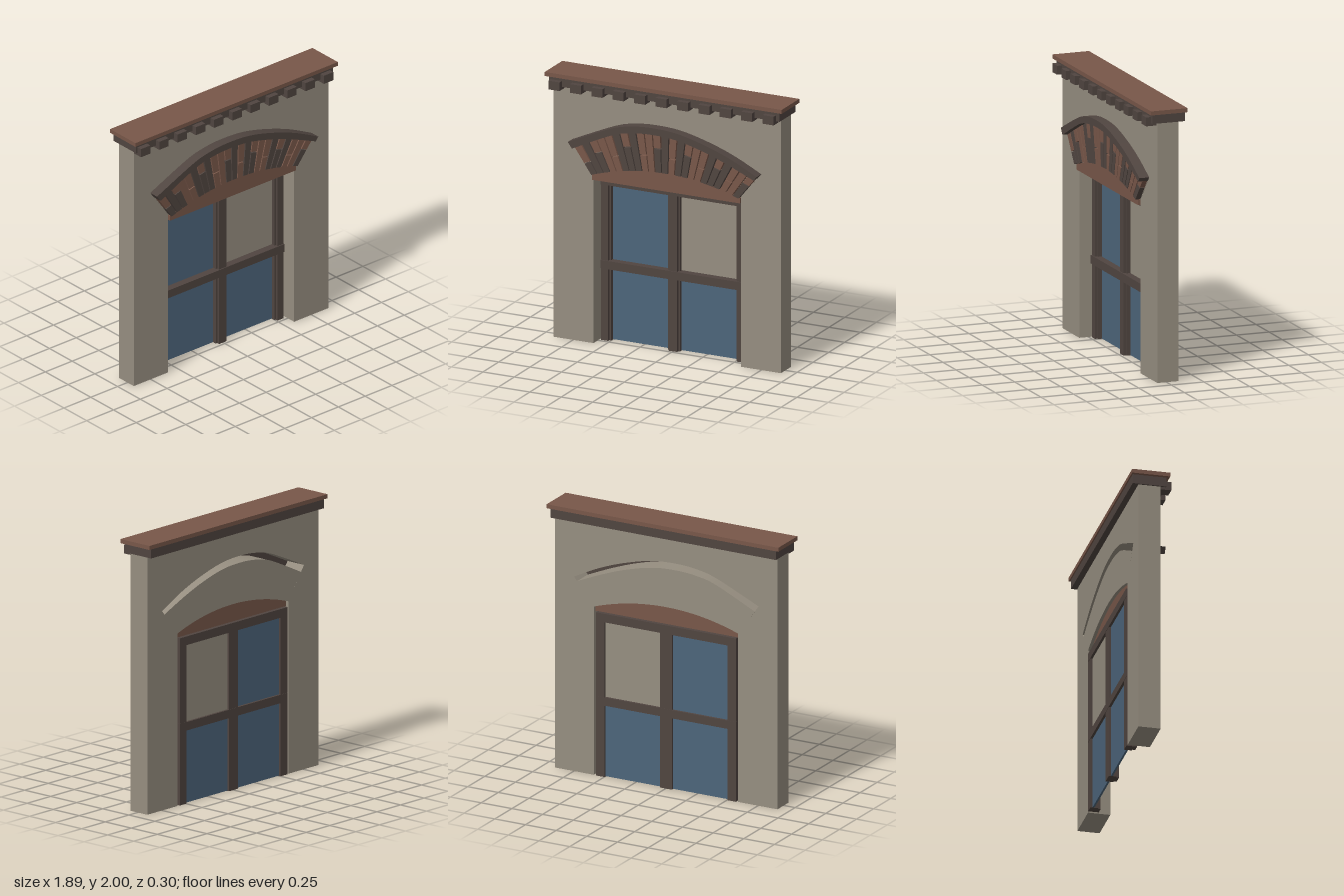
import * as THREE from 'three';

const mat = (name, color) => {
  const m = new THREE.MeshStandardMaterial({ color });
  m.name = name;
  return m;
};

export function createModel() {
  const model = new THREE.Group();
  model.name = 'archedWindowWall';
  const stone = mat('stone', 0x968e80);
  const brown = mat('redBrown', 0x785749);
  const dark = mat('darkBrown', 0x504540);
  const glass = mat('blueGlass', 0x4d657b);

  const add = (name, geo, material, parent = model) => {
    const mesh = new THREE.Mesh(geo, material);
    mesh.name = name;
    parent.add(mesh);
    return mesh;
  };
  const group = (name) => {
    const g = new THREE.Group();
    g.name = name;
    model.add(g);
    return g;
  };
  // box given by its limits on each axis
  const box = (name, x0, x1, y0, y1, z0, z1, material, parent) => {
    const mesh = add(name, new THREE.BoxGeometry(x1 - x0, y1 - y0, z1 - z0), material, parent);
    mesh.position.set((x0 + x1) / 2, (y0 + y1) / 2, (z0 + z1) / 2);
    return mesh;
  };
  // outline in the xy plane, extruded from z0 to z1
  const slab = (name, pts, z0, z1, material, parent) => {
    const geo = new THREE.ExtrudeGeometry(new THREE.Shape(pts), { depth: z1 - z0, bevelEnabled: false });
    geo.translate(0, 0, z0);
    return add(name, geo, material, parent);
  };
  const v = (x, y) => new THREE.Vector2(x, y);
  const spline = (pairs) => new THREE.SplineCurve(pairs.map(([x, y]) => v(x, y)));

  // arch curves: moulding top, moulding underside, brick foot
  const outer = spline([[-0.755, 1.507], [-0.42, 1.655], [-0.257, 1.698], [-0.09, 1.712],
    [0.11, 1.7], [0.33, 1.647], [0.54, 1.572], [0.75, 1.47]]);
  const under = spline([[-0.722, 1.462], [-0.41, 1.607], [-0.25, 1.648], [-0.09, 1.661],
    [0.1, 1.65], [0.315, 1.599], [0.52, 1.527], [0.725, 1.44]]);
  const half = 0.588, radius = 1.81;
  const foot = (t) => {
    const x = (t * 2 - 1) * half;
    return v(x, Math.sqrt(radius * radius - x * x) - radius + 1.37);
  };
  const outerPts = outer.getPoints(42);
  const underPts = under.getPoints(42);
  const footPts = Array.from({ length: 33 }, (_, i) => foot(i / 32));

  // wall with the doorway and arch cut out
  slab('wall', [v(-0.908, 0), v(-half, 0), v(-half, 1.273), ...outerPts, v(half, 1.273),
    v(half, 0), v(0.906, 0), v(0.906, 1.9), v(-0.908, 1.9)], -0.093, 0.07, stone);
  // infill behind the bricks, leaving a groove under the arch at the back
  slab('archInfill', [...footPts, ...underPts.slice().reverse()], -0.093, 0.072, stone);
  slab('archMoulding', [...underPts, ...outerPts.slice().reverse()], 0.065, 0.145, dark);
  slab('tympanum', [v(-half, 1.232), v(half, 1.232), ...footPts.slice().reverse()], -0.07, 0.09, brown);

  // fan of bricks, every second column split in two
  const bricks = group('archBricks');
  const columns = 23;
  const at = (t, h) => foot(t).lerp(under.getPointAt(t), h);
  const brick = (i, h0, h1, material) => {
    const t0 = (i + 0.07) / columns, t1 = (i + 0.93) / columns;
    slab('brick', [at(t0, h0), at(t1, h0), at(t1, h1), at(t0, h1)], 0.065, 0.11, material, bricks);
  };
  for (let i = 0; i < columns; i++) {
    if (i % 2) {
      brick(i, 0.01, 0.99, i % 6 === 3 ? brown : dark);
    } else {
      const split = i % 4 ? 0.62 : 0.42;
      brick(i, 0.01, split - 0.015, i % 4 || i === 0 ? dark : brown);
      brick(i, split + 0.015, 0.99, brown);
    }
  }

  // cornice
  box('corniceCap', -0.945, 0.943, 1.97, 2, -0.147, 0.132, brown);
  box('corniceBand', -0.92, 0.916, 1.9, 1.97, -0.137, 0.11, dark);
  const dentils = group('dentils');
  for (let i = 0; i < 11; i++) {
    const x = -0.863 + i * 0.1706;
    box('dentil', x - 0.044, x + 0.044, 1.88, 1.945, 0.068, 0.148, dark, dentils);
  }

  // window frame
  const frame = group('windowFrame');
  [[-0.572, -0.516], [-0.036, 0.034], [0.51, 0.566]].forEach(([x0, x1]) =>
    box('post', x0, x1, 0, 1.2, -0.098, -0.02, dark, frame));
  [[-0.516, -0.502], [-0.05, -0.036], [0.034, 0.046], [0.498, 0.51]].forEach(([x0, x1]) =>
    box('glazingStop', x0, x1, 0, 1.2, -0.098, -0.04, dark, frame));
  box('topRail', -0.574, 0.568, 1.17, 1.234, -0.1, -0.012, dark, frame);
  box('middleRail', -0.574, 0.568, 0.54, 0.602, -0.1, -0.012, dark, frame);

  // panes, the upper left one blanked off
  const panes = group('panes');
  [[-0.502, -0.05], [0.046, 0.498]].forEach(([x0, x1], side) => {
    box('lowerPane', x0, x1, 0.002, 0.54, -0.082, -0.068, glass, panes);
    box(side ? 'blankPane' : 'upperPane', x0, x1, 0.602, 1.17, -0.082, -0.068, side ? stone : glass, panes);
  });
  return model;
}
